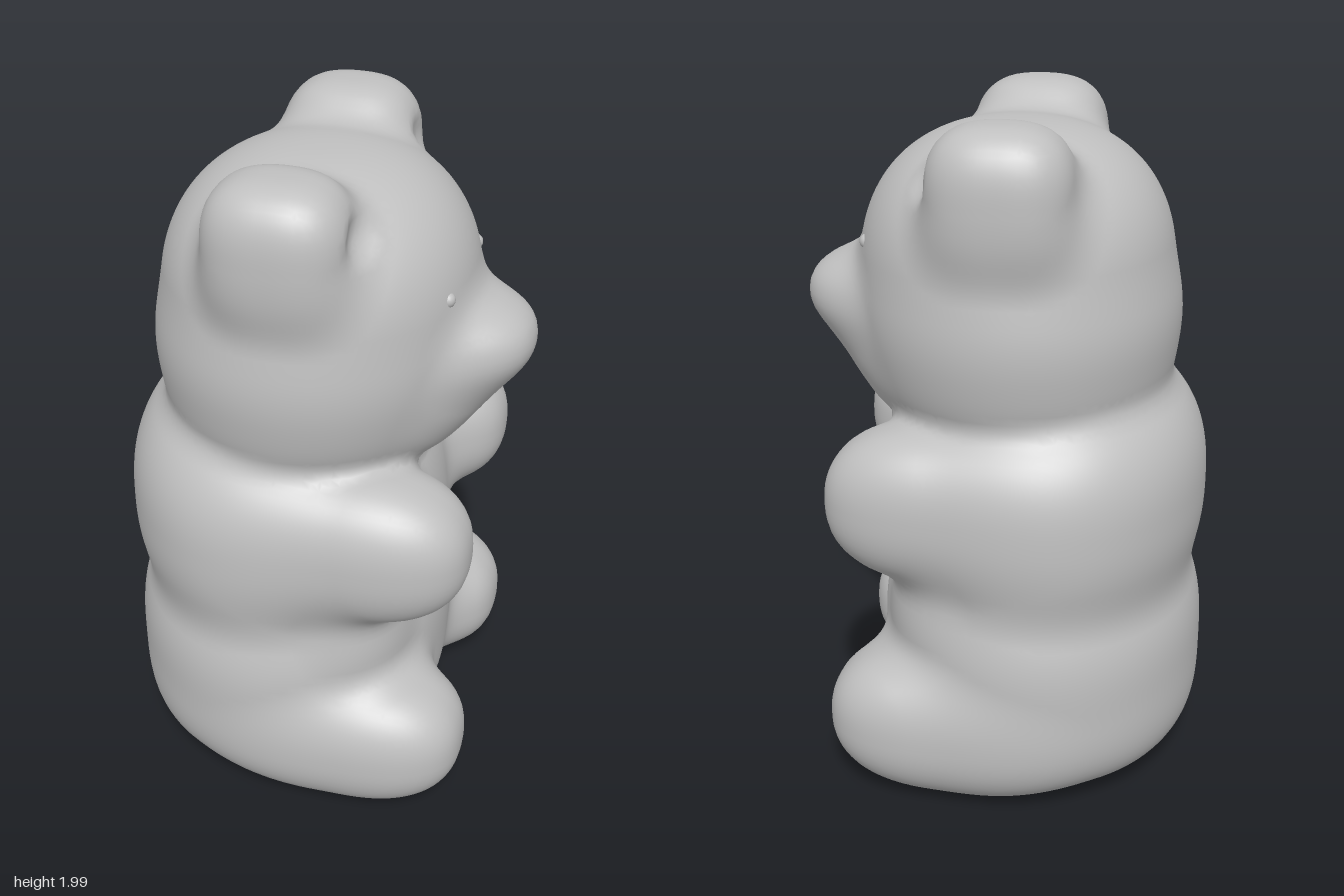
import * as THREE from 'three';

// Soft solid: p squares it off in height, q squares it off in plan
const blob = (x, y, z, rx, ry, rz, p = 2.4, q = 2) => (vx, vy, vz) => {
  const h = Math.pow(Math.abs((vx - x) / rx) ** q + Math.abs((vz - z) / rz) ** q, 1 / q);
  const f = Math.pow(h ** p + Math.abs((vy - y) / ry) ** p, 1 / p);
  return (f - 1) * Math.min(rx, ry, rz);
};

// The same solid on both sides; skew sets one a little ahead of the other
const pair = (x, y, z, skew, ...rest) => [-1, 1].map((s) => blob(s * x, y, z - s * skew, ...rest));

// Union of two distances with a fillet of size k
const join = (a, b, k) => {
  const h = Math.max(k - Math.abs(a - b), 0) / k;
  return Math.min(a, b) - h * h * k * 0.25;
};
const melt = (solids, k) => (x, y, z) => solids.reduce((d, s) => join(d, s(x, y, z), k), 9);

// Torso, arms and legs
const bodyField = melt([
  blob(0, 0.345, -0.15, 0.565, 0.345, 0.48, 3.4),
  blob(0, 0.64, -0.13, 0.53, 0.55, 0.44, 3),
  blob(0, 0.89, -0.175, 0.56, 0.4, 0.45, 2.5),
  ...pair(0.29, 0.6, 0.07, 0.01, 0.18, 0.22, 0.18),
  ...pair(0.35, 0.92, 0.085, 0.018, 0.2, 0.235, 0.365, 2.4, 2.5),
  ...pair(0.355, 0.23, 0.085, 0.018, 0.22, 0.225, 0.37, 2.4, 2.5),
], 0.07);

// Skull, jaw and snout, with ears hollowed at the front
const skullField = melt([
  blob(0, 1.5, -0.06, 0.485, 0.44, 0.45, 2.4),
  blob(0, 1.31, -0.09, 0.46, 0.27, 0.42, 3),
  blob(0, 1.3, 0.2, 0.24, 0.19, 0.2),
  blob(0, 1.36, 0.28, 0.18, 0.13, 0.19),
  blob(0, 1.44, 0.34, 0.175, 0.115, 0.21, 2.2, 2.3),
], 0.09);
const earField = melt(pair(0.35, 1.8, -0.07, 0, 0.165, 0.2, 0.2, 2.8, 2.5), 0.01);
const hollowField = melt(pair(0.32, 1.83, 0.17, 0, 0.09, 0.08, 0.07, 2), 0.01);
const headField = (x, y, z) => join(
  skullField(x, y, z),
  -join(-earField(x, y, z), hollowField(x, y, z), 0.03),
  0.07,
);
// Whole bear, cut flat underneath
const field = (x, y, z) => Math.max(join(bodyField(x, y, z), headField(x, y, z), 0.04), 0.006 - y);

function gradient(x, y, z) {
  const e = 0.004;
  return new THREE.Vector3(
    field(x + e, y, z) - field(x - e, y, z),
    field(x, y + e, z) - field(x, y - e, z),
    field(x, y, z + e) - field(x, y, z - e),
  ).divideScalar(2 * e);
}

// Skin of the field between two heights: one point per crossed cell, one quad per crossed edge
function skin(yMin, yMax) {
  const step = 0.025;
  const low = [-0.7, yMin, -0.75];
  const n = [56, Math.round((yMax - yMin) / step), 56];
  const stride = [1, n[0] + 1, (n[0] + 1) * (n[1] + 1)];
  const values = new Float32Array(stride[2] * (n[2] + 1));
  const eachNode = (extra, visit) => {
    for (let k = 0; k < n[2] + extra; k++)
      for (let j = 0; j < n[1] + extra; j++)
        for (let i = 0; i < n[0] + extra; i++)
          visit([i, j, k], i + j * stride[1] + k * stride[2]);
  };
  const at = (c, axis) => low[axis] + c[axis] * step;
  eachNode(1, (c, id) => { values[id] = field(at(c, 0), at(c, 1), at(c, 2)); });

  const points = [], normals = [], indices = [], cellPoint = new Map();
  eachNode(0, (c, id) => {
    const sum = new THREE.Vector3();
    let hits = 0;
    for (let corner = 0; corner < 8; corner++) {
      const bits = [corner & 1, (corner >> 1) & 1, corner >> 2];
      const a = id + bits[0] + bits[1] * stride[1] + bits[2] * stride[2];
      for (let d = 0; d < 3; d++) {
        if (bits[d]) continue;
        const va = values[a], vb = values[a + stride[d]];
        if ((va < 0) === (vb < 0)) continue;
        const cross = [...bits];
        cross[d] = va / (va - vb);
        sum.add(new THREE.Vector3(...cross));
        hits++;
      }
    }
    if (!hits) return;
    const v = sum.multiplyScalar(step / hits).add(new THREE.Vector3(at(c, 0), at(c, 1), at(c, 2)));
    const g = gradient(v.x, v.y, v.z);
    const slide = -field(v.x, v.y, v.z) / Math.max(g.lengthSq(), 0.2);
    v.addScaledVector(g, THREE.MathUtils.clamp(slide, -0.01, 0.01));
    cellPoint.set(id, points.length / 3);
    points.push(v.x, v.y, v.z);
    normals.push(...gradient(v.x, v.y, v.z).normalize());
  });

  eachNode(0, (c, id) => {
    for (let d = 0; d < 3; d++) {
      const u = (d + 1) % 3, w = (d + 2) % 3;
      const inside = values[id] < 0;
      if (!c[u] || !c[w] || inside === (values[id + stride[d]] < 0)) continue;
      const quad = [id - stride[u] - stride[w], id - stride[w], id, id - stride[u]].map((q) => cellPoint.get(q));
      if (!inside) quad.reverse();
      indices.push(quad[0], quad[1], quad[2], quad[0], quad[2], quad[3]);
    }
  });

  const geometry = new THREE.BufferGeometry();
  geometry.setAttribute('position', new THREE.Float32BufferAttribute(points, 3));
  geometry.setAttribute('normal', new THREE.Float32BufferAttribute(normals, 3));
  geometry.setIndex(indices);
  return geometry;
}

export function createModel() {
  const grey = new THREE.MeshStandardMaterial({ color: 0xc0c0c0 });
  grey.name = 'soft grey';

  const model = new THREE.Group();
  const bear = new THREE.Group();
  bear.name = 'bear';
  bear.rotation.y = (Math.PI * 2) / 3; // the bear sits turned to one side
  bear.position.set(0.005, 0, 0.012);
  model.add(bear);
  const add = (name, geometry) => {
    const mesh = new THREE.Mesh(geometry, grey);
    mesh.name = name;
    bear.add(mesh);
    return mesh;
  };

  // The two skins meet at the neck, sharing one row of cells
  add('body', skin(-0.05, 1.175));
  add('head', skin(1.15, 2.05));

  // Eyes: tiny beads set in the face
  for (const side of [-1, 1]) {
    const x = side * 0.18, y = 1.62;
    let z = 0.6;
    while (field(x, y, z) > 0) z -= 0.004;
    const eye = add(side > 0 ? 'leftEye' : 'rightEye', new THREE.SphereGeometry(0.022, 16, 12));
    eye.position.set(x, y, z - 0.012);
  }

  return model;
}
